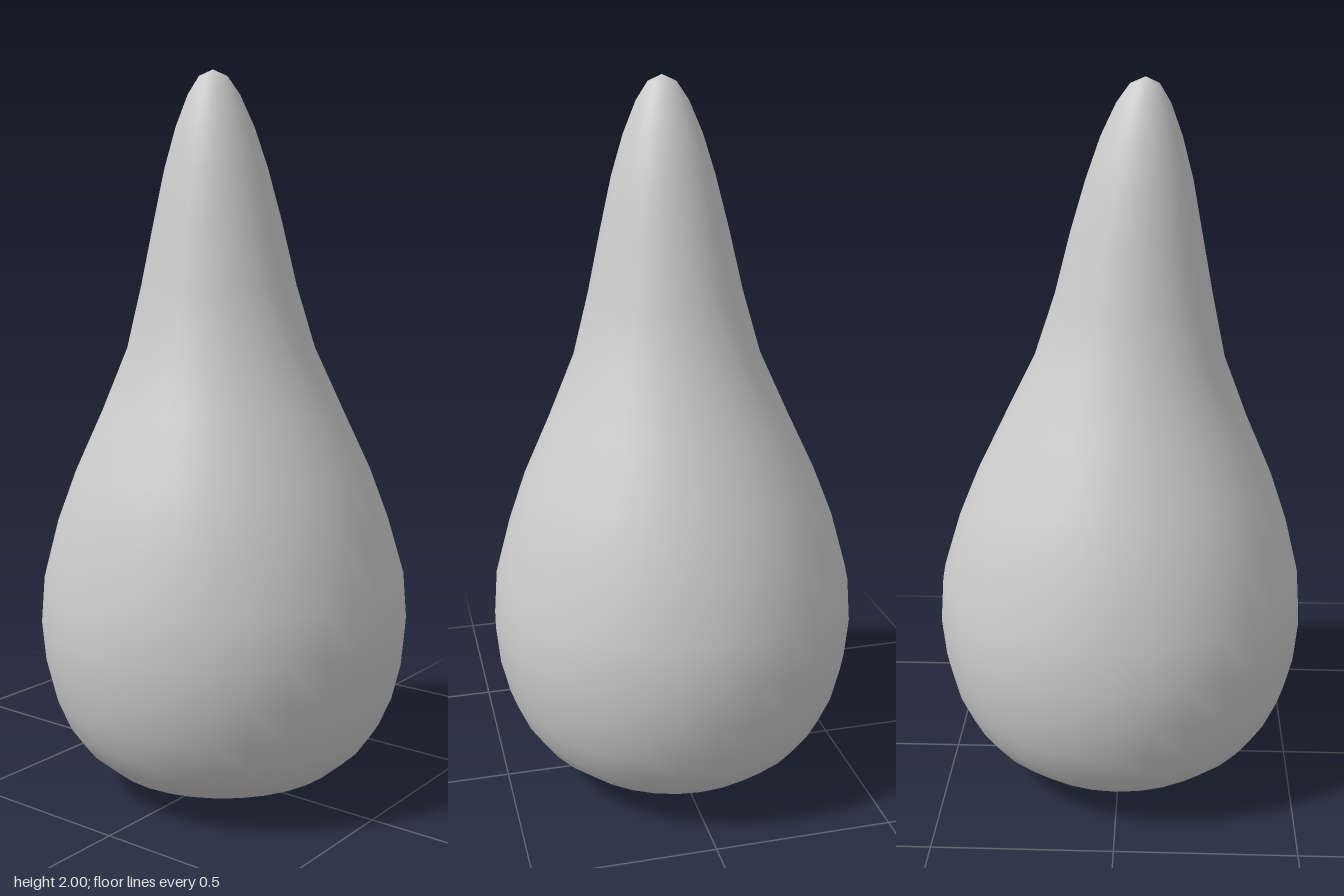
import * as THREE from 'three';
import { mergeVertices } from 'three/addons/utils/BufferGeometryUtils.js';

// Profile rings: radius, height, sideways (x) and forward (z) drift of the centre
const rings = [
  [0, 0.004, 0, -0.05],
  [0.01, 0.004, 0, -0.05],
  [0.25, 0.04, 0, -0.01],
  [0.335, 0.08, 0, 0],
  [0.405, 0.14, 0, 0],
  [0.447, 0.2, 0, 0],
  [0.482, 0.28, 0, 0],
  [0.506, 0.38, 0, 0],
  [0.516, 0.49, 0, 0],
  [0.506, 0.62, 0, 0],
  [0.462, 0.78, 0, 0.005],
  [0.41, 0.92, 0.003, 0.01],
  [0.332, 1.09, 0.005, 0.015],
  [0.258, 1.26, 0.007, 0.025],
  [0.212, 1.43, 0.008, 0.036],
  [0.174, 1.6, 0.009, 0.042],
  [0.14, 1.74, 0.01, 0.05],
  [0.106, 1.85, 0.01, 0.055],
  [0.07, 1.935, 0.01, 0.06],
  [0.038, 1.983, 0.01, 0.063],
  [0, 2, 0.01, 0.065],
];

export function createModel() {
  const group = new THREE.Group();
  group.name = 'teardrop';

  // Turned body
  const points = rings.map(([r, y]) => new THREE.Vector2(r, y));
  const lathe = new THREE.LatheGeometry(points, 32);

  // Shift each ring along the leaning axis; the lowest ring becomes a short keel
  const pos = lathe.attributes.position;
  for (let i = 0; i < pos.count; i++) {
    const k = i % rings.length;
    const [, , dx, dz] = rings[k];
    const stretch = k === 1 ? 5 : 1.012;
    pos.setX(i, pos.getX(i) + dx);
    pos.setZ(i, pos.getZ(i) * stretch + dz);
  }

  // Weld the seam and poles so shading stays smooth
  lathe.deleteAttribute('uv');
  lathe.deleteAttribute('normal');
  const geometry = mergeVertices(lathe, 1e-4);
  geometry.computeVertexNormals();

  const body = new THREE.Mesh(geometry, new THREE.MeshStandardMaterial({ color: 0xcccccc }));
  body.name = 'dropBody';
  group.add(body);
  return group;
}
